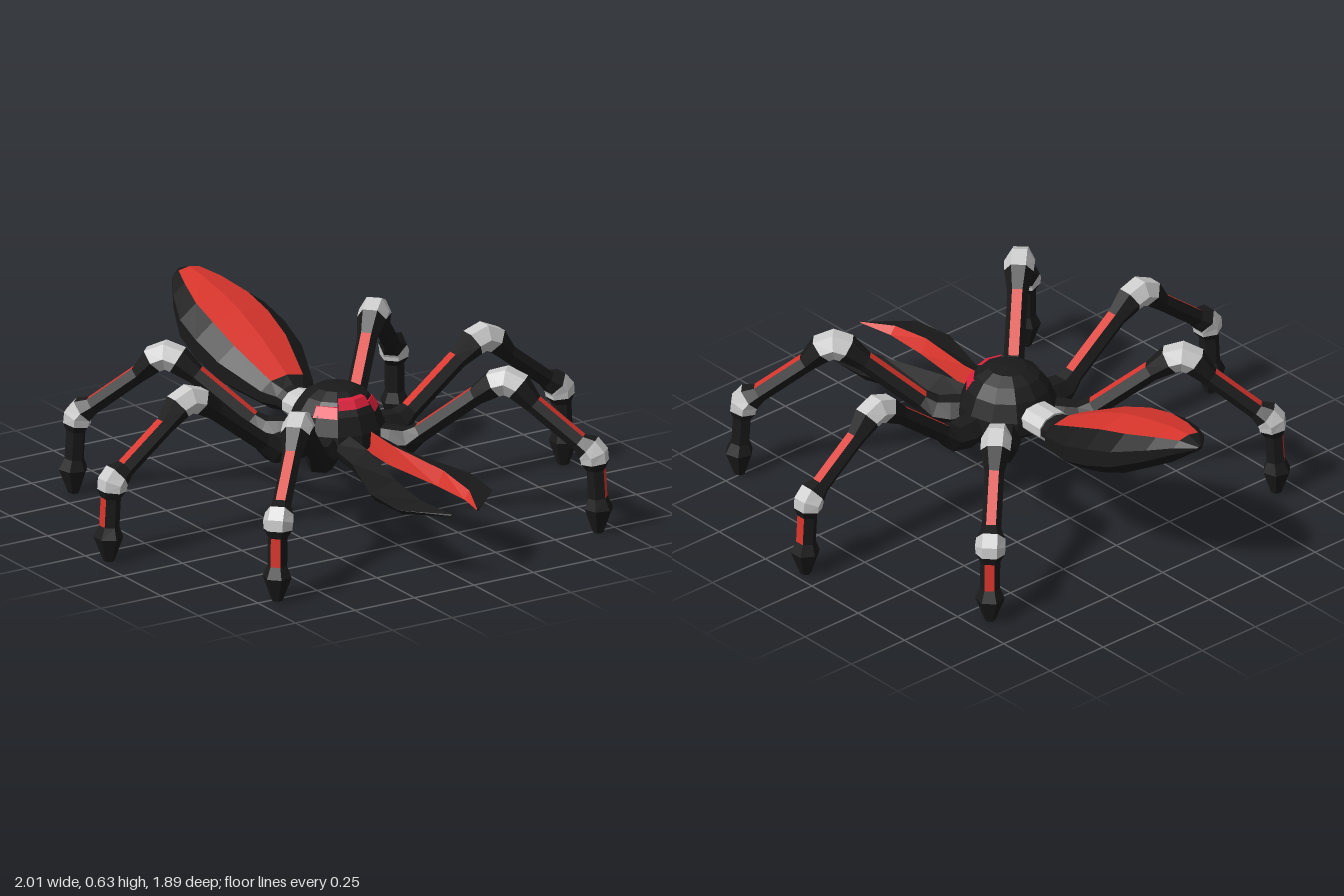
import * as THREE from 'three';

const mat = (color) => new THREE.MeshStandardMaterial({ color, flatShading: true, roughness: 0.8 });
const BLACK = mat(0x1a1a1a), RED = mat(0xd8352c), EYE = mat(0xe0203c), GREY = mat(0xcccccc);
const V = (x, y, z) => new THREE.Vector3(x, y, z);

// Skin a row of rings (counter-clockwise about the path); one mesh per material.
function loft(name, rings, pick) {
  const byMat = new Map(), n = rings[0].length, last = rings.length - 1;
  const tri = (m, ...pts) => {
    if (!byMat.has(m)) byMat.set(m, []);
    pts.forEach((p) => byMat.get(m).push(p.x, p.y, p.z));
  };
  for (let i = 0; i < last; i++) {
    for (let j = 0; j < n; j++) {
      const k = (j + 1) % n, m = pick(i, j);
      tri(m, rings[i][j], rings[i][k], rings[i + 1][k]);
      tri(m, rings[i][j], rings[i + 1][k], rings[i + 1][j]);
    }
  }
  for (let j = 1; j < n - 1; j++) {
    tri(BLACK, rings[0][0], rings[0][j + 1], rings[0][j]);
    tri(BLACK, rings[last][0], rings[last][j], rings[last][j + 1]);
  }
  const group = new THREE.Group();
  group.name = name;
  const part = new Map([[BLACK, 'Shell'], [RED, 'Stripe'], [GREY, 'Joint']]);
  byMat.forEach((pos, m) => {
    const g = new THREE.BufferGeometry();
    g.setAttribute('position', new THREE.Float32BufferAttribute(pos, 3));
    g.computeVertexNormals();
    const mesh = new THREE.Mesh(g, m);
    mesh.name = name + part.get(m);
    group.add(mesh);
  });
  return group;
}

// Leg: hexagonal tube bent in the xy plane; each row is reach, height, radius.
function makeLeg(name) {
  const path = [
    [0.10, 0.30, 0.05], [0.20, 0.285, 0.06], [0.265, 0.29, 0.053], [0.31, 0.325, 0.037],
    [0.51, 0.48, 0.037], [0.575, 0.53, 0.053], [0.62, 0.545, 0.055], [0.665, 0.525, 0.053],
    [0.72, 0.465, 0.035], [0.885, 0.335, 0.035], [0.92, 0.315, 0.052], [0.94, 0.29, 0.055],
    [0.943, 0.262, 0.052], [0.947, 0.235, 0.036], [0.953, 0.13, 0.036], [0.957, 0.09, 0.053],
    [0.955, 0, 0.02],
  ];
  const rings = path.map(([x, y, r], i) => {
    const a = path[Math.max(i - 1, 0)], b = path[Math.min(i + 1, path.length - 1)];
    const t = i === path.length - 1 ? V(0, -1, 0) : V(b[0] - a[0], b[1] - a[1], 0).normalize();
    return Array.from({ length: 6 }, (_, j) => {
      const c = r * Math.cos(j * Math.PI / 3), s = r * Math.sin(j * Math.PI / 3);
      return V(x - t.y * s, y + t.x * s, -c);
    });
  });
  const joints = [5, 6, 10, 11], stripes = [3, 8, 13];
  return loft(name, rings, (i, j) =>
    joints.includes(i) ? GREY : stripes.includes(i) && j === 1 ? RED : BLACK);
}

// Abdomen: ten-sided rings; each row is z, half width, bottom, top.
function makeAbdomen() {
  const rows = [
    [-0.16, 0.065, 0.295, 0.385], [-0.2, 0.072, 0.295, 0.395], [-0.24, 0.115, 0.295, 0.42],
    [-0.42, 0.185, 0.312, 0.515], [-0.55, 0.197, 0.35, 0.568], [-0.67, 0.187, 0.4, 0.6],
    [-0.8, 0.13, 0.48, 0.625], [-0.89, 0.075, 0.55, 0.633], [-0.95, 0.012, 0.597, 0.612],
  ];
  const rings = rows.map(([z, w, lo, hi]) => Array.from({ length: 10 }, (_, j) => {
    const a = (j * 36 + 18) * Math.PI / 180;
    return V(-w * Math.cos(a), (lo + hi) / 2 + (hi - lo) / 2 * Math.sin(a), z);
  }));
  return loft('abdomen', rings, (i, j) => (i >= 2 && i <= 6 && (j === 1 || j === 2) ? RED : BLACK));
}

// Mandible: four-cornered blade; each row is z, outer x, inner x, top, bottom.
function makeMandible(name) {
  const rows = [
    [0.18, 0.1, 0.03, 0.35, 0.27], [0.38, 0.12, 0.035, 0.33, 0.255], [0.64, 0.21, 0.075, 0.305, 0.245],
    [0.81, 0.2, 0.08, 0.28, 0.245], [0.94, 0.06, 0.05, 0.258, 0.25],
  ];
  const rings = rows.map(([z, out, inn, top, bot], i) => {
    const slant = i === 4 ? 0.002 : (out - inn) * 0.18;
    return [V(out, (top + bot) / 2, z), V(inn + slant, top, z), V(inn, bot + 0.005, z), V(out - slant, bot, z)];
  });
  return loft(name, rings, (i, j) => (j === 1 ? RED : BLACK));
}

function lathe(name, pts, material, start = 0, length = Math.PI * 2, segments = 12) {
  const profile = pts.map(([r, y]) => new THREE.Vector2(r, y));
  const mesh = new THREE.Mesh(new THREE.LatheGeometry(profile, segments, start, length), material);
  mesh.name = name;
  mesh.position.z = 0.085;
  return mesh;
}

export function createModel() {
  const model = new THREE.Group();
  model.name = 'spider';

  // Domed thorax with a flat underside plate
  model.add(lathe('thorax', [[0.13, 0.25], [0.18, 0.29], [0.175, 0.34], [0.15, 0.405], [0.115, 0.452],
    [0.07, 0.477], [0, 0.485]], BLACK));
  model.add(lathe('bellyPlate', [[0, 0.25], [0.13, 0.25]], GREY));

  // Eye bands wrapped on the front of the dome
  model.add(lathe('frontEye', [[0.137, 0.428], [0.118, 0.458], [0.1, 0.463]], EYE, -0.5, 1, 2));
  for (const s of [-1, 1]) {
    model.add(lathe(s > 0 ? 'leftEye' : 'rightEye', [[0.155, 0.402], [0.13, 0.438], [0.11, 0.442]],
      EYE, s * 0.83 - 0.3, 0.6, 1));
  }

  // Waist
  const waist = new THREE.Mesh(new THREE.CylinderGeometry(0.072, 0.072, 0.12, 10), GREY);
  waist.name = 'waist';
  waist.rotation.x = Math.PI / 2;
  waist.scale.z = 0.75;
  waist.position.set(0, 0.34, -0.105);
  model.add(waist, makeAbdomen());

  // Mandibles
  const leftMandible = makeMandible('leftMandible');
  const rightMandible = makeMandible('rightMandible');
  rightMandible.scale.x = -1;
  model.add(leftMandible, rightMandible);

  // Six legs fanned around the thorax
  ['leftMiddleLeg', 'leftBackLeg', null, 'rightBackLeg', 'rightMiddleLeg', 'rightFrontLeg', null, 'leftFrontLeg']
    .forEach((name, i) => {
      if (!name) return;
      const leg = makeLeg(name);
      leg.rotation.y = i * Math.PI / 4;
      leg.position.z = 0.085;
      model.add(leg);
    });
  return model;
}
